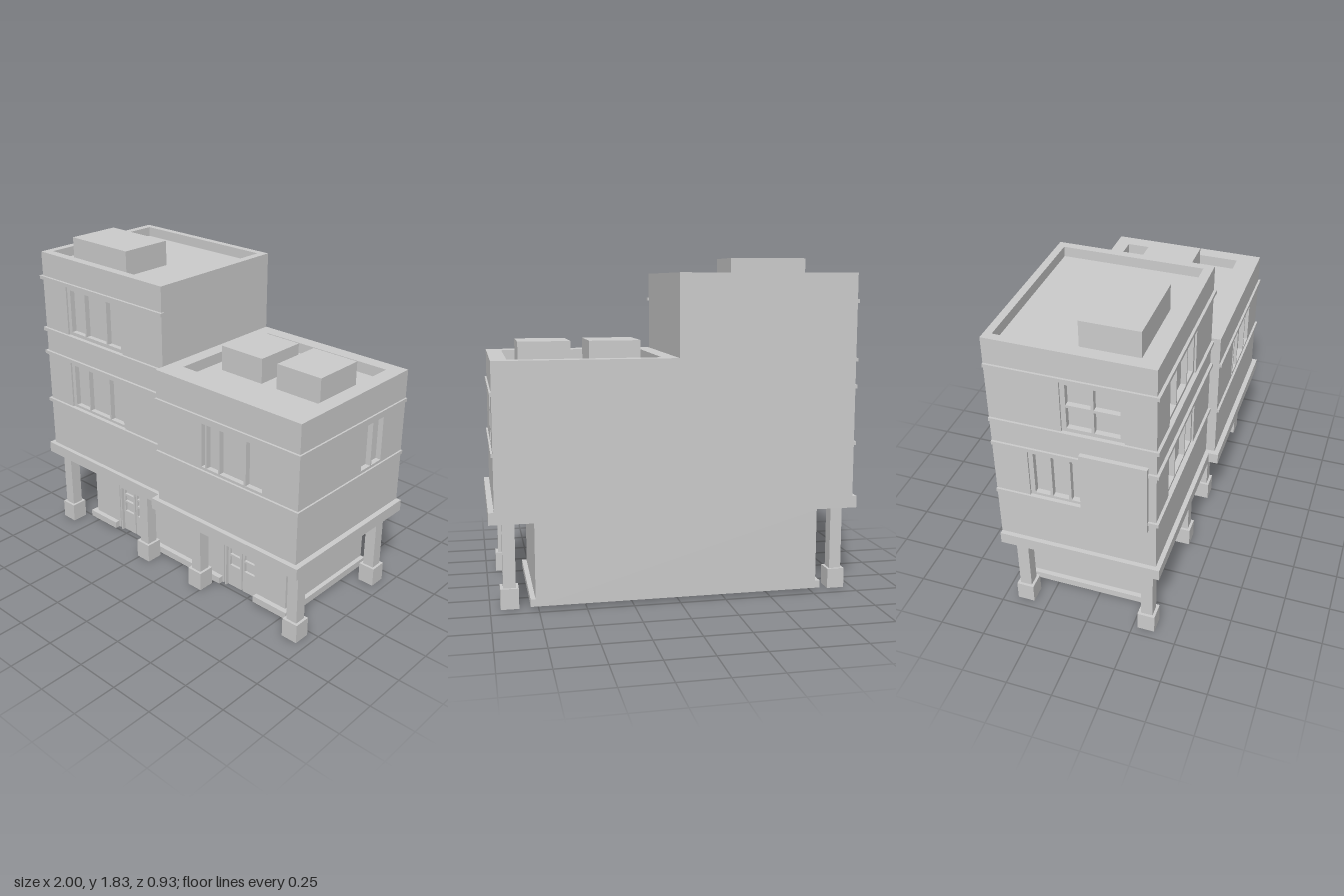
import * as THREE from 'three';

const grey = new THREE.MeshStandardMaterial({ color: 0xcccccc, flatShading: true });
const hollow = new THREE.MeshStandardMaterial({ color: 0xcccccc, flatShading: true, side: THREE.DoubleSide });
const BACK = -0.465;

export function createModel() {
  const model = new THREE.Group();

  const add = (name, geometry, material = grey) => {
    const mesh = new THREE.Mesh(geometry, material);
    mesh.name = name;
    model.add(mesh);
    return mesh;
  };

  // Box given by its limits on each axis; openBottom leaves out the underside
  const box = (name, [x0, x1], [y0, y1], [z0, z1], openBottom = false) => {
    const g = new THREE.BoxGeometry(x1 - x0, y1 - y0, z1 - z0);
    if (openBottom) {
      const index = Array.from(g.index.array);
      index.splice(18, 6);
      g.setIndex(index);
      g.clearGroups();
    }
    g.translate((x0 + x1) / 2, (y0 + y1) / 2, (z0 + z1) / 2);
    return add(name, g, openBottom ? hollow : grey);
  };

  const rectPoints = ([u0, u1, v0, v1]) => [[u0, v0], [u1, v0], [u1, v1], [u0, v1]].map(p => new THREE.Vector2(...p));

  const extrudeRect = (rect, holes, depth) => {
    const shape = new THREE.Shape(rectPoints(rect));
    holes.forEach(h => shape.holes.push(new THREE.Path(rectPoints(h).reverse())));
    return new THREE.ExtrudeGeometry(shape, { depth, bevelEnabled: false });
  };

  // Wall layer with openings; u is x on the front, -z on the left side (+x), z on the right side (-x)
  const wall = (name, facing, outer, depth, rect, holes) => {
    const g = extrudeRect(rect, holes, depth);
    g.translate(0, 0, outer - depth);
    if (facing === 'left') g.rotateY(Math.PI / 2);
    if (facing === 'right') g.rotateY(-Math.PI / 2);
    return add(name, g);
  };

  // Parapet ring around a sunken roof; rect and hole are x0, x1, z0, z1
  const parapet = (name, [x0, x1, z0, z1], [a0, a1, b0, b1], y, height) => {
    const g = extrudeRect([x0, x1, -z1, -z0], [[a0, a1, -b1, -b0]], height);
    g.rotateX(-Math.PI / 2);
    g.translate(0, y, 0);
    add(name, g);
  };

  // Turns horizontal spans into pane openings between two heights
  const panes = (spans, v0, v1) => spans.map(([a, b]) => [a, b, v0, v1]);

  // Tall tower: solid core, pane layer, then an outer skin with larger openings
  const towerRoof = 1.69;
  box('towerCore', [-0.935, 0], [0.5, towerRoof], [BACK, 0.345]);
  const triple = [[-0.75, -0.635], [-0.625, -0.455], [-0.445, -0.335]];
  wall('towerFrontWindows', 'front', 0.375, 0.03, [-0.965, 0, 0.5, towerRoof],
    [...panes(triple, 0.85, 1.10), ...panes(triple, 1.31, 1.56)]);
  wall('towerFrontSkin', 'front', 0.385, 0.01, [-0.975, 0, 0.5, towerRoof],
    [[-0.775, -0.315, 0.835, 1.125], [-0.775, -0.315, 1.29, 1.585]]);
  const sidePair = [[-0.065, 0.06], [0.075, 0.205]];
  wall('towerSideWindows', 'right', 0.965, 0.03, [BACK, 0.345, 0.5, towerRoof], [
    ...panes([[-0.255, -0.175], [-0.16, -0.075], [-0.06, -0.01]], 0.85, 1.10),
    ...panes(sidePair, 1.31, 1.43), ...panes(sidePair, 1.445, 1.56)]);
  wall('towerSideSkin', 'right', 0.975, 0.01, [BACK, 0.375, 0.5, towerRoof],
    [[-0.28, 0.01, 0.835, 1.125], [-0.09, 0.23, 1.29, 1.585]]);
  parapet('towerParapet', [-0.975, 0, BACK, 0.385], [-0.93, -0.045, -0.425, 0.335], towerRoof, 0.055);
  box('towerRoofUnit', [-0.83, -0.39], [towerRoof, 1.83], [-0.04, 0.265]);
  box('sidePanel', [-1, -0.974], [0.775, 1.18], [0, 0.345]);

  // Lower wing
  const wingRoof = 1.245;
  box('wingCore', [0, 0.94], [0.5, wingRoof], [BACK, 0.407]);
  wall('wingFrontWall', 'front', 0.437, 0.03, [0, 0.97, 0.5, wingRoof],
    panes([[0.33, 0.355], [0.365, 0.447], [0.457, 0.622], [0.635, 0.742]], 0.85, 1.10));
  wall('wingSideWall', 'left', 0.97, 0.03, [-0.407, -BACK, 0.5, wingRoof],
    panes([[0.085, 0.17], [0.18, 0.265]], 0.85, 1.10));
  parapet('wingParapet', [0, 0.97, BACK, 0.437], [0.08, 0.885, -0.385, 0.31], wingRoof, 0.06);
  for (const x of [0.16, 0.54]) box('wingRoofUnit', [x, x + 0.28], [wingRoof, 1.385], [-0.21, 0.095]);

  // String courses wrapping the front and outer side
  for (const y of [0.825, 1.135, 1.28, 1.595]) {
    const height = [y - 0.01, y + 0.01];
    box('towerBandFront', [-0.987, y > 1.5 ? 0.01 : 0], height, [0.375, 0.4]);
    box('towerBandSide', [-0.987, -0.97], height, [BACK, 0.375]);
    if (y < 1.2) {
      box('wingBandFront', [0, 0.98], height, [0.43, 0.45]);
      box('wingBandSide', [0.965, 0.98], height, [BACK, 0.43]);
    }
  }

  // Overhanging floor slabs
  box('towerSlab', [-1, -0.03], [0.465, 0.53], [BACK, 0.41]);
  box('wingSlab', [-0.03, 1], [0.465, 0.53], [BACK, 0.465]);

  // Hollow ground floor with two door openings
  const doors = [-0.44, 0.435];
  const front = new THREE.Shape([[-0.77, 0.02], [-0.77, 0.465], [0.767, 0.465], [0.767, 0.02]]
    .map(p => new THREE.Vector2(...p)));
  for (const x of [...doors].reverse()) {
    for (const [dx, y] of [[0.115, 0.02], [0.115, 0.32], [-0.115, 0.32], [-0.115, 0.02]]) front.lineTo(x + dx, y);
  }
  const frontGeometry = new THREE.ExtrudeGeometry(front, { depth: 0.02, bevelEnabled: false });
  add('groundFrontWall', frontGeometry.translate(0, 0, 0.225));
  box('groundBackWall', [-0.77, 0.767], [0.02, 0.465], [BACK, BACK + 0.01]);
  box('groundSideWall', [-0.77, -0.76], [0.02, 0.465], [BACK + 0.01, 0.225]);
  box('groundSideWall', [0.757, 0.767], [0.02, 0.465], [BACK + 0.01, 0.225]);

  // Double doors with a frame, leaves and glazing rails
  for (const x of doors) {
    box('doorBacking', [x - 0.115, x + 0.115], [0.005, 0.32], [0.195, 0.205]);
    box('doorHead', [x - 0.115, x + 0.115], [0.305, 0.32], [0.205, 0.238]);
    for (const s of [-1, 1]) {
      const jamb = [x + s * 0.115, x + s * 0.105].sort((a, b) => a - b);
      box('doorJamb', jamb, [0.005, 0.305], [0.205, 0.238]);
      const a = x + s * 0.054;
      box('doorLeaf', [a - 0.049, a + 0.049], [0.005, 0.14], [0.205, 0.22]);
      for (const y of [0.2, 0.25, 0.293]) box('doorRail', [a - 0.049, a + 0.049], [y, y + 0.012], [0.205, 0.22]);
      for (const e of [-1, 1]) {
        box('doorStile', [a + e * 0.043 - 0.006, a + e * 0.043 + 0.006], [0.14, 0.305], [0.205, 0.22]);
      }
    }
  }

  // Curb around the ground floor, broken at the doors
  for (const span of [[-0.797, -0.57], [-0.315, 0.31], [0.562, 0.793]]) box('curbFront', span, [0.02, 0.06], [0.245, 0.275]);
  box('curbSide', [-0.797, -0.77], [0.02, 0.06], [BACK, 0.245]);
  box('curbSide', [0.767, 0.793], [0.02, 0.06], [BACK, 0.245]);

  // Columns on square footings
  for (const [x, z] of [[-0.905, 0.325], [-0.217, 0.325], [0.208, 0.325], [0.898, 0.325], [-0.905, -0.377], [0.898, -0.377]]) {
    box('column', [x - 0.033, x + 0.033], [0.11, 0.465], [z - 0.033, z + 0.033]);
    box('columnFooting', [x - 0.048, x + 0.048], [0, 0.11], [z - 0.048, z + 0.048], true);
  }

  return model;
}
